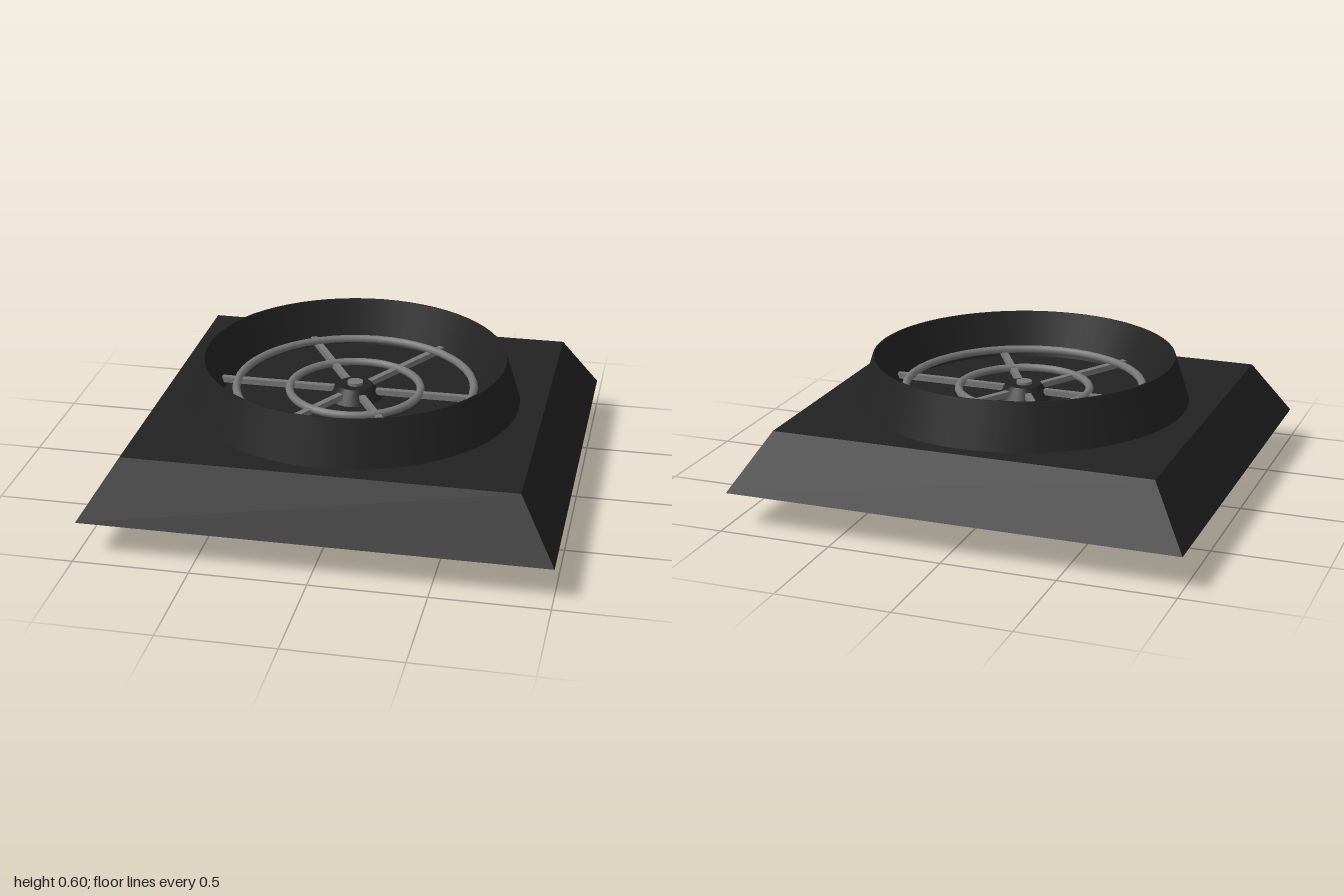
import * as THREE from 'three';

const dark = new THREE.MeshStandardMaterial({ color: 0x222222 });
dark.name = 'charcoal';
const grey = new THREE.MeshStandardMaterial({ color: 0x787878 });
grey.name = 'bare metal grey';

function add(parent, name, geometry, material, x = 0, y = 0, z = 0) {
  const mesh = new THREE.Mesh(geometry, material);
  mesh.name = name;
  mesh.position.set(x, y, z);
  parent.add(mesh);
  return mesh;
}

// Rectangular base with sloping sides
function baseGeometry() {
  const g = new THREE.BoxGeometry(2, 0.25, 1.88);
  const p = g.attributes.position;
  for (let i = 0; i < p.count; i++) {
    if (p.getY(i) > 0) p.setXYZ(i, Math.sign(p.getX(i)) * 0.84, p.getY(i), Math.sign(p.getZ(i)) * 0.795);
  }
  g.computeVertexNormals();
  return g;
}

// Pitched sector blade: leading edge low, trailing edge rising into the base
function bladeGeometry() {
  const inner = 0.07, outer = 0.56, sweep = 1.2;
  const shape = new THREE.Shape();
  shape.absarc(0, 0, outer, 0, sweep, false);
  shape.absarc(0, 0, inner, sweep, 0, true);
  const g = new THREE.ExtrudeGeometry(shape, { depth: 0.04, bevelEnabled: false, curveSegments: 16 });
  g.rotateX(Math.PI / 2);
  const p = g.attributes.position;
  for (let i = 0; i < p.count; i++) {
    const r = Math.hypot(p.getX(i), p.getZ(i));
    p.setY(i, p.getY(i) + 0.16 - 0.107 * r + 0.25 * p.getZ(i));
  }
  g.computeVertexNormals();
  return g;
}

export function createModel() {
  const model = new THREE.Group();
  model.name = 'roofFan';

  add(model, 'base', baseGeometry(), dark, 0, 0.275, 0);

  // Round collar: outer wall, thin rim and tapered inner wall
  const collar = new THREE.Group();
  collar.name = 'collar';
  model.add(collar);
  const wall = (name, points) =>
    add(collar, name, new THREE.LatheGeometry(points.map(([r, y]) => new THREE.Vector2(r, y)), 64), dark);
  wall('collarOuterWall', [[0.73, 0.4], [0.667, 0.6]]);
  wall('collarRim', [[0.667, 0.6], [0.66, 0.6]]);
  wall('collarInnerWall', [[0.66, 0.6], [0.59, 0.4]]);

  // Guard grille: two rings on six spokes
  const grille = new THREE.Group();
  grille.name = 'grille';
  model.add(grille);
  for (const [name, radius, y] of [['outerGuardRing', 0.525, 0.455], ['innerGuardRing', 0.29, 0.44]]) {
    const ring = new THREE.TorusGeometry(radius, 0.018, 8, 48);
    ring.rotateX(Math.PI / 2);
    add(grille, name, ring, grey, 0, y, 0);
  }
  for (let i = 0; i < 6; i++) {
    const spoke = new THREE.BoxGeometry(0.52, 0.025, 0.028);
    spoke.translate(0.355, 0, 0);
    add(grille, 'guardSpoke', spoke, grey, 0, 0.432, 0).rotation.y = i * Math.PI / 3;
  }

  // Hub above the grille and motor below the base
  add(model, 'hubCap', new THREE.CylinderGeometry(0.075, 0.12, 0.06, 32), dark, 0, 0.43, 0);
  add(model, 'hubBolt', new THREE.CylinderGeometry(0.035, 0.035, 0.015, 16), grey, 0, 0.465, 0);
  add(model, 'motor', new THREE.CylinderGeometry(0.105, 0.105, 0.25, 32), dark, 0, 0.125, 0);

  // Three fan blades
  const blade = bladeGeometry();
  for (let i = 0; i < 3; i++) {
    add(model, 'fanBlade', blade, [dark, grey]).rotation.y = Math.PI / 6 + i * Math.PI * 2 / 3;
  }
  return model;
}
